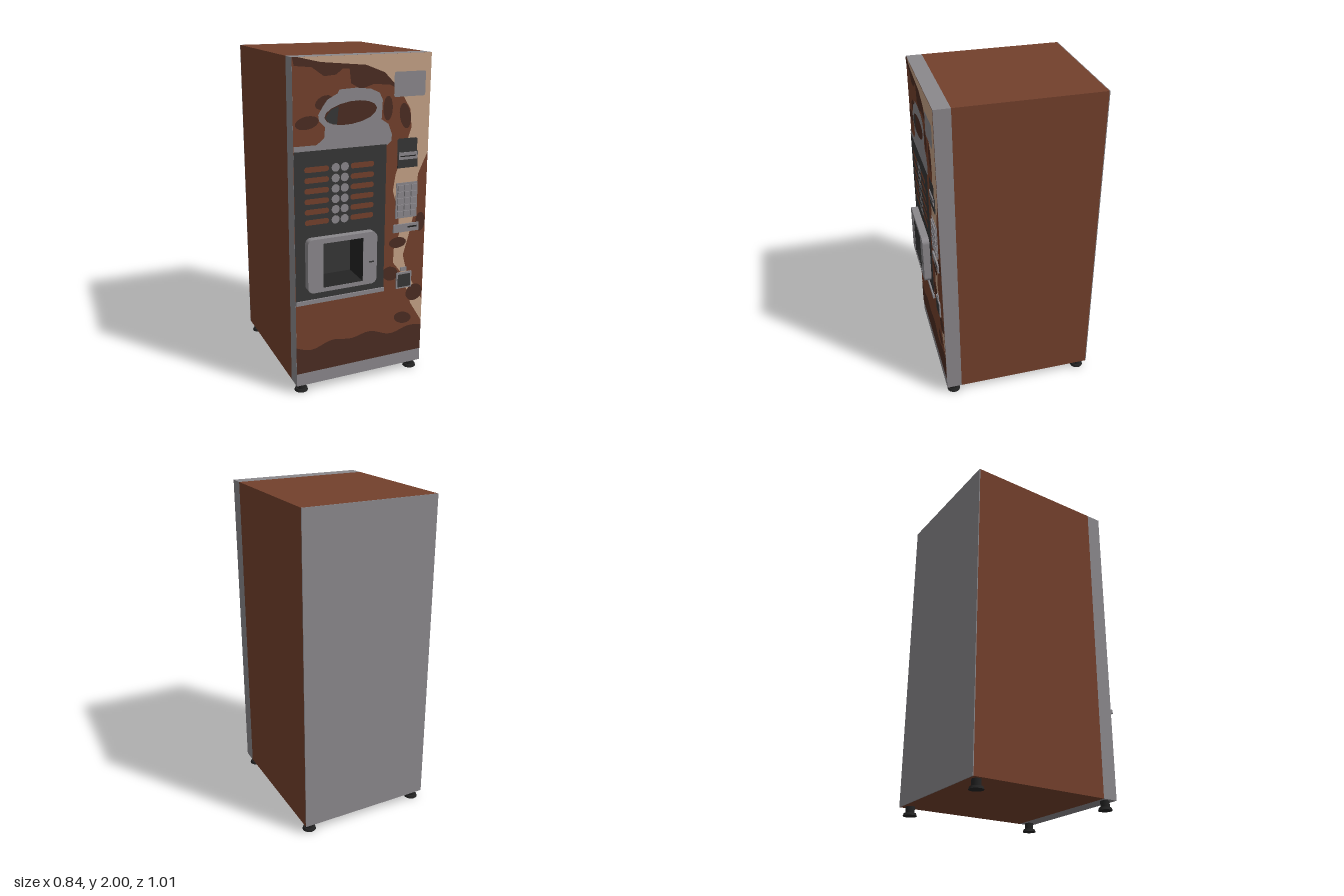
import * as THREE from 'three';

const mat = (name, color, side = THREE.FrontSide) => {
  const m = new THREE.MeshStandardMaterial({ color, side });
  m.name = name;
  return m;
};
const brown = mat('brown', 0x73402c);
const darkBrown = mat('dark brown', 0x4b2c22);
const tan = mat('tan', 0xc4a286);
const grey = mat('grey', 0x8b888c);
const charcoal = mat('charcoal', 0x363636);
const black = mat('black', 0x232323);

const FRONT = 0.455;   // z of the door's face
const STEP = 0.0012;   // spacing of the painted layers
const HALF = 0.42;

export function createModel() {
  const root = new THREE.Group();
  root.name = 'vendingMachine';

  const add = (name, geo, material) => {
    const m = new THREE.Mesh(geo, material);
    m.name = name;
    root.add(m);
    return m;
  };
  // box given by its limits
  const box = (name, material, x0, x1, y0, y1, z0, z1) =>
    add(name, new THREE.BoxGeometry(x1 - x0, y1 - y0, z1 - z0), material)
      .position.set((x0 + x1) / 2, (y0 + y1) / 2, (z0 + z1) / 2);
  // rectangle outline with optional round corners
  const rect = (x0, x1, y0, y1, r = 0, Kind = THREE.Shape) => {
    const s = new Kind();
    if (!r) return s.moveTo(x0, y0).lineTo(x1, y0).lineTo(x1, y1).lineTo(x0, y1).closePath();
    s.absarc(x1 - r, y0 + r, r, -Math.PI / 2, 0);
    s.absarc(x1 - r, y1 - r, r, 0, Math.PI / 2);
    s.absarc(x0 + r, y1 - r, r, Math.PI / 2, Math.PI);
    s.absarc(x0 + r, y0 + r, r, Math.PI, Math.PI * 1.5);
    return s.closePath();
  };
  const withHole = (s) => {
    s.holes.push(rect(-0.265, -0.015, 0.695, 0.965, 0, THREE.Path));
    return s;
  };
  const extrude = (name, shape, material, z0, z1) =>
    add(name, new THREE.ExtrudeGeometry(shape, { depth: z1 - z0, bevelEnabled: false, curveSegments: 6 }), material)
      .position.z = z0;
  // flat painted face on the door, stacked by layer
  const paint = (name, shape, material, layer) =>
    add(name, new THREE.ShapeGeometry(shape, 8), material).position.z = FRONT + layer * STEP;
  const outline = (pts) => new THREE.Shape(pts.map(([x, y]) => new THREE.Vector2(x, y)));
  const ellipse = (x, y, rx, ry, rot = 0) => new THREE.Shape().absellipse(x, y, rx, ry, 0, Math.PI * 2, false, rot);

  // cabinet, back panel and door
  box('cabinet', brown, -HALF, HALF, 0.055, 2, -0.5, 0.36);
  box('backPanel', grey, -HALF, HALF, 0.055, 2, -0.505, -0.5);
  extrude('door', withHole(rect(-HALF, HALF, 0.055, 2)), grey, 0.36, FRONT);

  // feet
  for (const x of [-0.375, 0.375]) for (const z of [-0.455, 0.405]) {
    add('footStem', new THREE.CylinderGeometry(0.027, 0.027, 0.045, 16), black).position.set(x, 0.0325, z);
    add('footPad', new THREE.CylinderGeometry(0.036, 0.042, 0.016, 16), black).position.set(x, 0.008, z);
  }

  // door artwork: background
  paint('doorPaint', withHole(rect(-HALF, HALF, 0.137, 2)), brown, 1);
  paint('tanSwirl', outline([
    [-0.39, 2], [-0.26, 1.97], [0.01, 1.945], [0.125, 1.9], [0.23, 1.79], [0.295, 1.685], [0.305, 1.58],
    [0.26, 1.445], [0.21, 1.31], [0.195, 1.21], [0.235, 1.075], [0.245, 0.94], [0.21, 0.84], [0.21, 0.757],
    [0.27, 0.68], [0.34, 0.466], [HALF, 0.335], [HALF, 0.48], [0.36, 0.58], [0.3, 0.7], [0.275, 0.8],
    [0.31, 0.92], [0.34, 1.05], [0.35, 1.18], [0.36, 1.3], [HALF, 1.43], [HALF, 2],
  ]), tan, 2);
  const wave = [[-HALF, 0.137], [HALF, 0.137]];
  for (let i = 0; i <= 28; i++) {
    const x = HALF - i * 0.03;
    wave.push([x, 0.31 + 0.014 * Math.sin(x * 24) + 0.012 * Math.sin(x * 11 + 2)]);
  }
  paint('darkBase', outline(wave), darkBrown, 2);
  paint('darkCrest', outline([
    [-HALF, 2], [-0.41, 1.955], [-0.31, 1.945], [-0.24, 1.895], [-0.17, 1.9], [-0.13, 1.93], [-0.09, 1.93],
    [-0.08, 1.85], [-0.02, 1.815], [0.06, 1.84], [0.16, 1.83], [0.2, 1.81], [0.215, 1.81], [0.125, 1.9],
    [0.01, 1.945], [-0.26, 1.97], [-0.39, 2],
  ]), darkBrown, 3);
  for (const [x, y, rx, ry, rot] of [
    [0.262, 1.65, 0.035, 0.075, 0.2], [-0.34, 1.65, 0.07, 0.036, 0.15], [-0.24, 1.755, 0.055, 0.035, 0.4],
    [0.15, 1.7, 0.03, 0.07, 0], [0.235, 0.885, 0.058, 0.034, 0], [0.19, 0.69, 0.055, 0.045, -0.4],
    [0.36, 0.54, 0.058, 0.055, 0.3], [0.285, 0.38, 0.062, 0.038, -0.3], [0.385, 1.0, 0.033, 0.06, 0],
  ]) paint('bean', ellipse(x, y, rx, ry, rot), darkBrown, 3);

  // painted cup
  paint('cup', outline([
    [-HALF, 1.49], [0.15, 1.49], [0.175, 1.51], [0.178, 1.55], [0.155, 1.61], [0.11, 1.64], [0.115, 1.75],
    [0.095, 1.79], [0.04, 1.815], [-0.05, 1.825], [-0.15, 1.82], [-0.16, 1.8], [-0.22, 1.77], [-0.25, 1.73],
    [-0.275, 1.69], [-0.27, 1.655], [-0.235, 1.62], [-0.24, 1.56], [-0.285, 1.525], [-HALF, 1.525],
  ]), grey, 4);
  paint('cupDrink', ellipse(-0.08, 1.69, 0.16, 0.063, 0.12), darkBrown, 5);
  paint('cupShade', outline([
    [-0.235, 1.67], [-0.21, 1.64], [-0.165, 1.63], [-0.155, 1.73], [-0.2, 1.715],
  ]), charcoal, 6);

  // selection panel with labels and buttons
  paint('selectionPanel', withHole(rect(-HALF, 0.145, 0.61, 1.495)), charcoal, 5);
  box('panelLedge', grey, -HALF, 0.145, 0.587, 0.612, FRONT, 0.47);
  for (let i = 0; i < 6; i++) {
    const y = 1.39 - i * 0.061;
    for (const x of [-0.36, -0.08]) paint('label', rect(x, x + 0.147, y - 0.016, y + 0.016, 0.015), brown, 6);
    for (const x of [-0.172, -0.116]) paint('selectionButton', ellipse(x, y, 0.025, 0.025), grey, 6);
  }

  // cup outlet: raised frame around a tapered recess
  extrude('outletFrame', withHole(rect(-0.36, 0.075, 0.67, 0.995, 0.035)), grey, FRONT, 0.505);
  box('outletLatch', charcoal, 0.022, 0.055, 0.806, 0.814, 0.505, 0.508);
  const recess = new THREE.BoxGeometry(0.25, 0.27, 0.135);
  const p = recess.attributes.position;
  for (let i = 0; i < p.count; i++) {
    if (p.getZ(i) > 0) p.setXY(i, p.getX(i) * 0.83, p.getY(i) * 0.82);
  }
  recess.scale(1, 1, -1); // turns the faces inward
  recess.setIndex(Array.from(recess.index.array).slice(0, 30)); // leaves the front open
  recess.clearGroups();
  recess.addGroup(0, 24, 0);
  recess.addGroup(24, 6, 1);
  const inner = recess.toNonIndexed();
  inner.computeVertexNormals();
  add('outletRecess', inner, [black, charcoal]).position.set(-0.14, 0.83, 0.4355);

  // sign plate
  paint('signPlate', rect(0.185, 0.385, 1.76, 1.9, 0.012), grey, 5);

  // coin slot
  paint('coinSlotBack', rect(0.215, 0.345, 1.42, 1.52, 0.012), charcoal, 5);
  box('coinSlotBlock', charcoal, 0.22, 0.35, 1.345, 1.44, FRONT, 0.463);
  box('coinSlotBand', grey, 0.225, 0.345, 1.395, 1.438, 0.463, 0.467);
  box('coinSlotGap', black, 0.235, 0.335, 1.412, 1.418, 0.467, 0.468);

  // keypad
  box('keypadPlate', grey, 0.215, 0.358, 1.037, 1.255, FRONT, 0.461);
  for (let c = 0; c < 3; c++) for (let r = 0; r < 5; r++) {
    const x = 0.225 + c * 0.044, y = 1.05 + r * 0.04;
    box('key', grey, x, x + 0.035, y, y + 0.031, 0.461, 0.469);
  }

  // card reader
  box('cardReader', grey, 0.202, 0.372, 0.95, 1.0, FRONT, 0.467);
  box('cardSlot', black, 0.295, 0.358, 0.974, 0.984, 0.467, 0.468);

  // coin return
  box('returnFrame', grey, 0.232, 0.336, 0.583, 0.688, FRONT, 0.464);
  box('returnFlap', charcoal, 0.242, 0.326, 0.593, 0.675, 0.464, 0.467);
  box('returnKnob', grey, 0.26, 0.3, 0.695, 0.72, FRONT, 0.463);

  return root;
}
